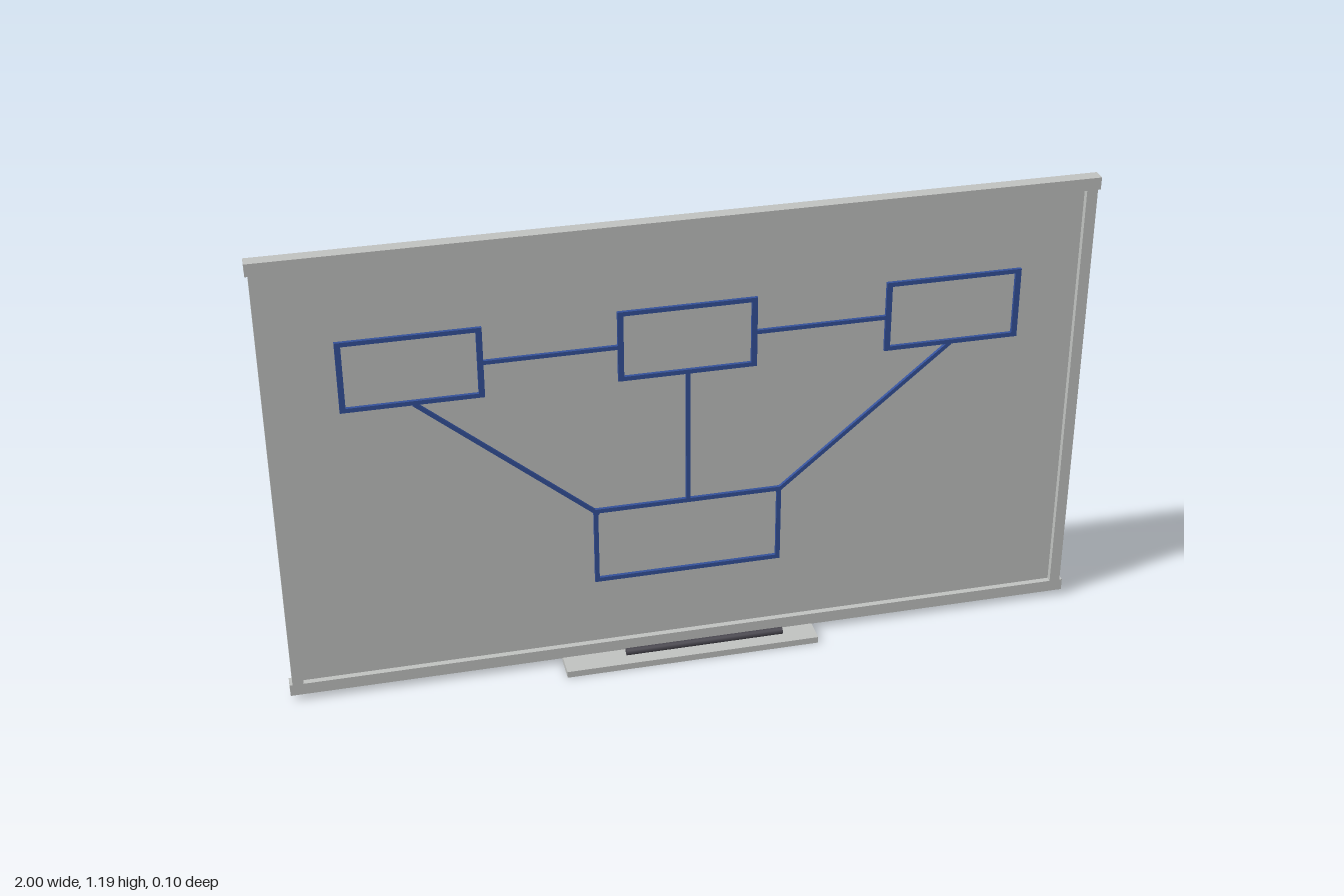
import * as THREE from 'three';

export function createModel() {
  const model = new THREE.Group();
  model.name = 'whiteboard';

  const grey = new THREE.MeshStandardMaterial({ color: 0xc0c2c0 });
  grey.name = 'light grey';
  const blue = new THREE.MeshStandardMaterial({ color: 0x34519a });
  blue.name = 'marker blue';
  const dark = new THREE.MeshStandardMaterial({ color: 0x4a4850 });
  dark.name = 'dark grey';

  // Box given by its limits on each axis
  const box = (name, material, [x0, x1], [y0, y1], [z0, z1], parent = model) => {
    const mesh = new THREE.Mesh(new THREE.BoxGeometry(x1 - x0, y1 - y0, z1 - z0), material);
    mesh.position.set((x0 + x1) / 2, (y0 + y1) / 2, (z0 + z1) / 2);
    mesh.name = name;
    parent.add(mesh);
    return mesh;
  };

  // Writing panel, recessed in front and standing a little proud behind
  const panelFront = -0.025;
  box('panel', grey, [-0.98, 0.98], [0.03, 1.172], [-0.05, panelFront]);

  // Frame: full-width rails with slightly inset side posts
  const frameZ = [-0.042, -0.01];
  box('topRail', grey, [-1, 1], [1.157, 1.188], frameZ);
  box('bottomRail', grey, [-1, 1], [0.016, 0.047], frameZ);
  box('leftPost', grey, [0.966, 0.993], [0.047, 1.157], frameZ);
  box('rightPost', grey, [-0.993, -0.966], [0.047, 1.157], frameZ);

  // Tray and the pen lying on it
  box('tray', grey, [-0.324, 0.322], [0, 0.017], [-0.022, 0.052]);
  const pen = new THREE.Mesh(new THREE.CylinderGeometry(0.009, 0.009, 0.404, 16), dark);
  pen.rotation.z = Math.PI / 2;
  pen.position.set(0.035, 0.026, 0.014);
  pen.name = 'pen';
  model.add(pen);

  // Diagram drawn on the panel
  const diagram = new THREE.Group();
  diagram.name = 'diagram';
  model.add(diagram);
  const inkZ = [panelFront, panelFront + 0.008];

  // Rectangle outline from four strips
  const outline = (name, x0, x1, y0, y1, wide, thin) => {
    box(name + 'LeftEdge', blue, [x0, x0 + wide], [y0, y1], inkZ, diagram);
    box(name + 'RightEdge', blue, [x1 - wide, x1], [y0, y1], inkZ, diagram);
    box(name + 'TopEdge', blue, [x0 + wide, x1 - wide], [y1 - thin, y1], inkZ, diagram);
    box(name + 'BottomEdge', blue, [x0 + wide, x1 - wide], [y0, y0 + thin], inkZ, diagram);
  };
  [-0.652, 0, 0.652].forEach((x, i) =>
    outline('upperBox' + (i + 1), x - 0.168, x + 0.168, 0.784, 0.966, 0.014, 0.011));
  outline('lowerBox', -0.235, 0.235, 0.227, 0.437, 0.011, 0.011);

  // Straight connector between two points
  const connector = (name, ax, ay, bx, by) => {
    const length = Math.hypot(bx - ax, by - ay);
    const mesh = box(name, blue, [-length / 2, length / 2], [-0.005, 0.005], inkZ, diagram);
    mesh.position.x = (ax + bx) / 2;
    mesh.position.y = (ay + by) / 2;
    mesh.rotation.z = Math.atan2(by - ay, bx - ax);
  };
  connector('middleConnector', 0, 0.784, 0, 0.437);
  for (const s of [-1, 1]) {
    connector('horizontalConnector', s * 0.168, 0.874, s * 0.484, 0.874);
    connector('diagonalConnector', s * 0.65, 0.786, s * 0.222, 0.423);
  }

  return model;
}
